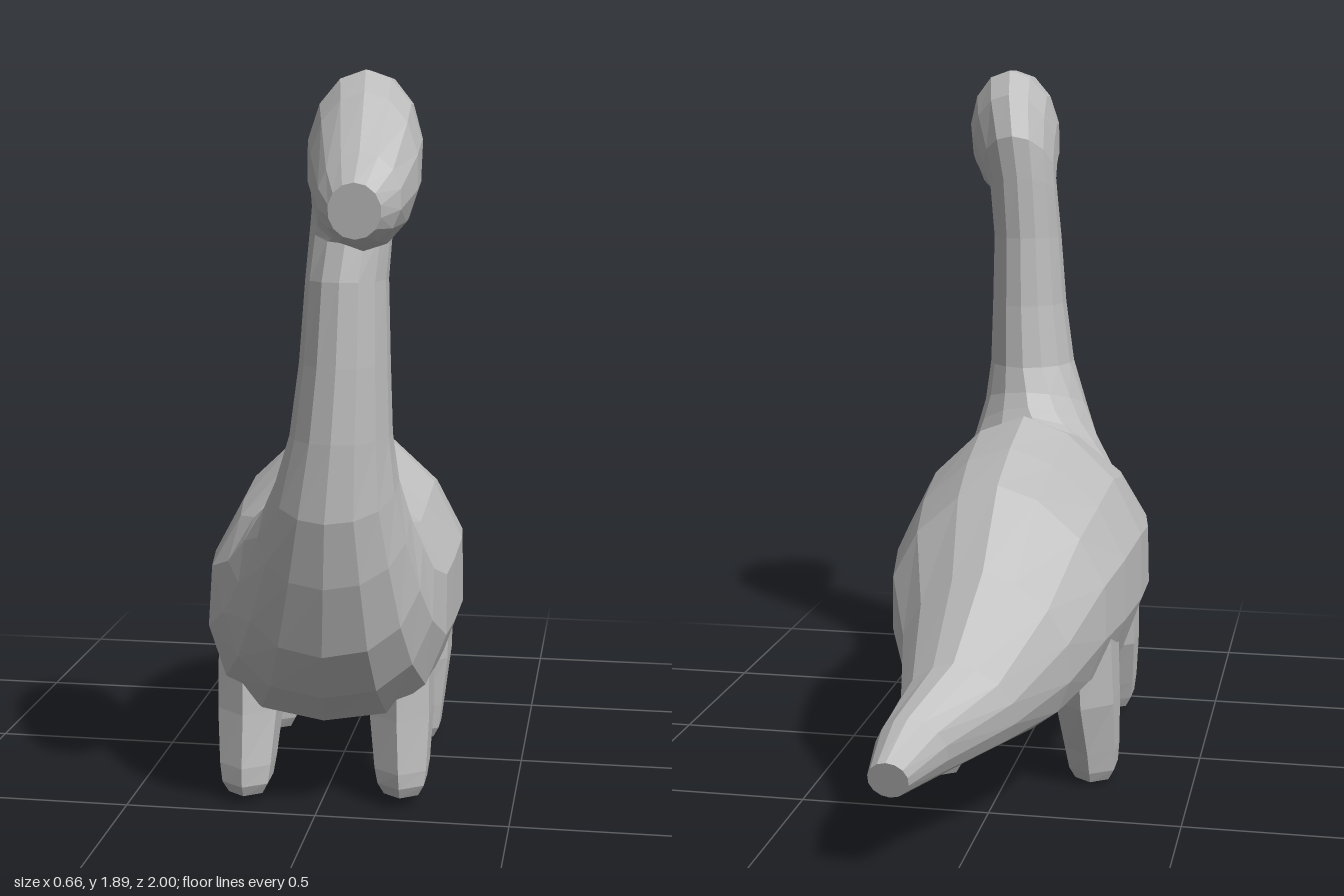
import * as THREE from 'three';

const grey = new THREE.MeshStandardMaterial({ color: 0xbcbcbc });
grey.name = 'stone grey';

// Faceted loft. Each section is [topZ, topY, bottomZ, bottomY, centreX, halfWidth, egg]:
// a tilted oval ring whose top and bottom points lie in the side profile.
// egg (0..1) pinches the upper half and squares off the lower half.
function loft(name, sections, sides) {
  const pos = [];
  const index = [];
  const power = (v, e) => Math.sign(v) * Math.pow(Math.abs(v), e);
  for (const [tz, ty, bz, by, cx, hw, egg = 0] of sections) {
    for (let j = 0; j < sides; j++) {
      const a = (j / sides) * Math.PI * 2;
      const c = Math.cos(a);
      const e = c > 0 ? 1 + 0.22 * egg : 1 - 0.22 * egg;
      const up = power(c, e);
      const side = Math.abs(Math.sin(a)) < 1e-6 ? 0 : power(Math.sin(a), e);
      pos.push(cx + hw * side, (ty + by) / 2 + ((ty - by) / 2) * up, (tz + bz) / 2 + ((tz - bz) / 2) * up);
    }
  }
  const last = sections.length - 1;
  for (let i = 0; i < last; i++) {
    for (let j = 0; j < sides; j++) {
      const a = i * sides + j;
      const b = i * sides + ((j + 1) % sides);
      index.push(a, a + sides, b, b, a + sides, b + sides);
    }
  }
  // End caps
  for (const end of [0, last]) {
    const [tz, ty, bz, by, cx] = sections[end];
    const centre = pos.length / 3;
    pos.push(cx, (ty + by) / 2, (tz + bz) / 2);
    for (let j = 0; j < sides; j++) {
      const a = end * sides + j;
      const b = end * sides + ((j + 1) % sides);
      if (end === 0) index.push(centre, a, b);
      else index.push(centre, b, a);
    }
  }
  const indexed = new THREE.BufferGeometry();
  indexed.setAttribute('position', new THREE.Float32BufferAttribute(pos, 3));
  indexed.setIndex(index);
  const geometry = indexed.toNonIndexed(); // separate faces give flat facets
  geometry.computeVertexNormals();
  const mesh = new THREE.Mesh(geometry, grey);
  mesh.name = name;
  return mesh;
}

// Leg from hip to foot: x and z of hip, x and z of foot, hip half-depth, foot height
function leg(name, hipX, hipZ, footX, footZ, depth, footY) {
  const at = (y, t, r, w) => {
    const x = THREE.MathUtils.lerp(hipX, footX, t);
    const z = THREE.MathUtils.lerp(hipZ, footZ, t);
    return [z + r, y, z - r, y, x, w];
  };
  return loft(name, [
    at(0.44, 0, depth, 0.09),
    at(0.24, 0.3, depth * 0.92, 0.09),
    at(0.1, 0.85, 0.095, 0.078),
    at(footY + 0.03, 1, 0.082, 0.07),
    at(footY, 1, 0.064, 0.052),
  ], 6);
}

export function createModel() {
  const model = new THREE.Group();
  model.name = 'longNeckedDinosaur';

  const tail = [
    [-1.0, 0.31, -0.96, 0.21, 0.14, 0.05],
    [-0.88, 0.38, -0.82, 0.2, 0.115, 0.09, 0.5],
    [-0.72, 0.47, -0.65, 0.22, 0.04, 0.145, 1],
  ];
  const trunk = [
    [-0.56, 0.66, -0.5, 0.22, 0, 0.22, 1],
    [-0.37, 0.84, -0.36, 0.23, 0, 0.29, 1],
    [-0.2, 0.905, -0.2, 0.21, 0, 0.32, 1],
    [0, 0.955, 0, 0.19, 0, 0.338, 1],
    [0.17, 0.91, 0.2, 0.21, 0, 0.335, 1],
    [0.28, 0.885, 0.42, 0.23, 0.01, 0.32, 0.9],
    [0.34, 0.87, 0.56, 0.335, 0.03, 0.275, 0.7],
    [0.365, 0.885, 0.66, 0.47, 0.045, 0.235, 0.5],
    [0.385, 0.91, 0.73, 0.66, 0.06, 0.19, 0.3],
  ];
  const neck = [
    [0.41, 0.95, 0.77, 0.83, 0.07, 0.155],
    [0.435, 1.02, 0.765, 1.02, 0.085, 0.125],
    [0.46, 1.2, 0.75, 1.2, 0.095, 0.11],
    [0.475, 1.4, 0.73, 1.4, 0.1, 0.1],
    [0.475, 1.58, 0.705, 1.49, 0.11, 0.1],
  ];
  const head = [
    [0.475, 1.7, 0.715, 1.49, 0.125, 0.11],
    [0.53, 1.82, 0.735, 1.485, 0.145, 0.128],
    [0.6, 1.89, 0.76, 1.48, 0.155, 0.136],
    [0.75, 1.89, 0.79, 1.48, 0.165, 0.135],
    [0.84, 1.84, 0.85, 1.485, 0.175, 0.125],
    [0.95, 1.71, 0.95, 1.505, 0.18, 0.095],
    [1.0, 1.645, 0.985, 1.52, 0.175, 0.06],
  ];

  // Neighbouring parts share a ring so the skin is continuous
  const body = loft('body', [...tail, ...trunk, ...neck, ...head], 14);
  model.add(body);

  model.add(
    leg('frontRightLeg', -0.2, 0.3, -0.2, 0.38, 0.13, 0.02),
    leg('frontLeftLeg', 0.2, 0.3, 0.21, 0.36, 0.13, 0.03),
    leg('backRightLeg', -0.21, -0.23, -0.23, -0.2, 0.14, 0.01),
    leg('backLeftLeg', 0.2, -0.23, 0.19, -0.2, 0.14, 0),
  );
  return model;
}
